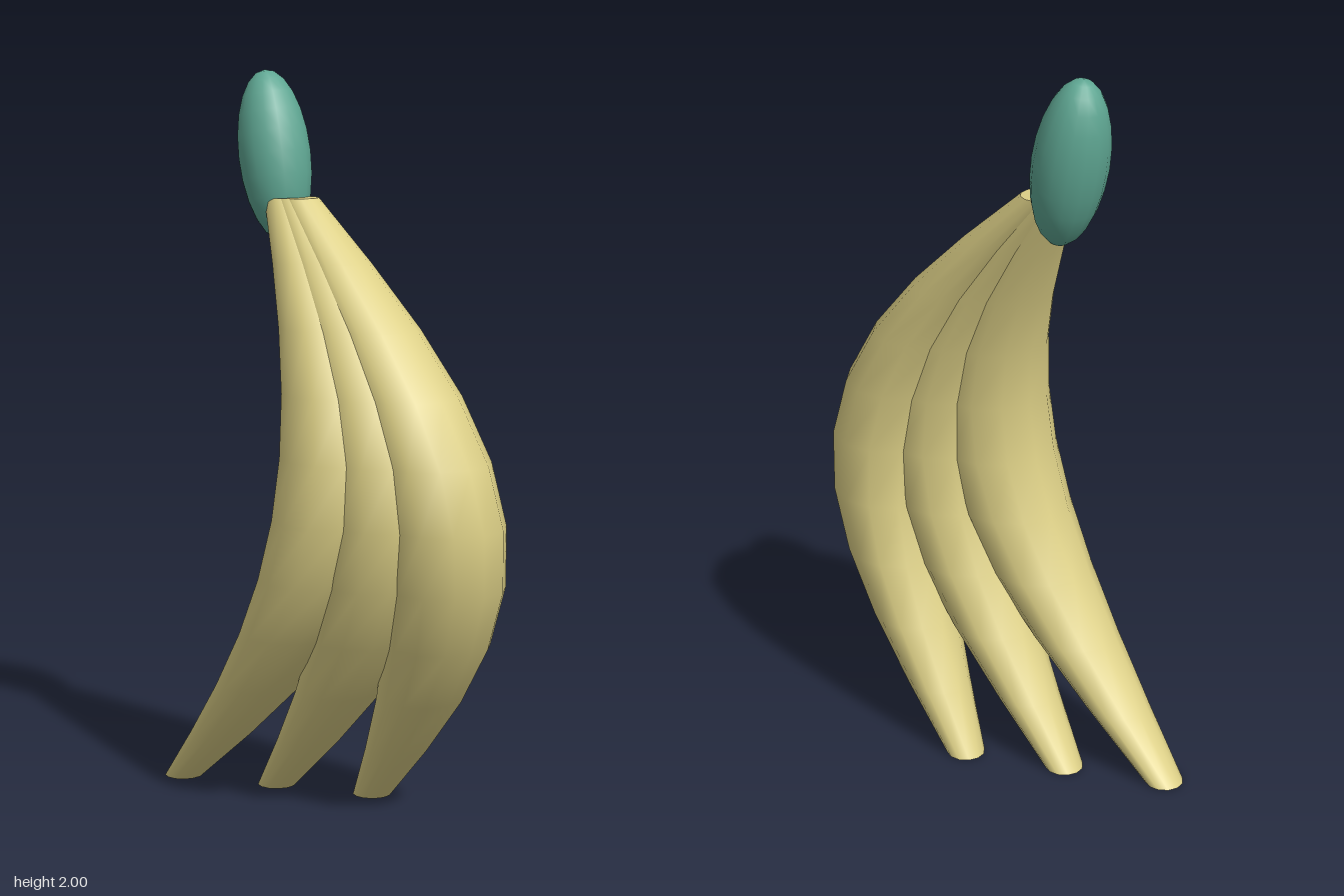
import * as THREE from 'three';

const HEIGHT = 1.66;

// One curved fruit: a cylinder whose level rings are swelled, bowed sideways and gathered at the top
function fruitGeometry(side) {
  const geo = new THREE.CylinderGeometry(1, 1, HEIGHT, 12, 10);
  const pos = geo.attributes.position;
  for (let i = 0; i < pos.count; i++) {
    const t = pos.getY(i) / HEIGHT + 0.5;
    const bulge = Math.sin(Math.PI * t);
    const radius = 0.053 + 0.112 * bulge;
    const spread = side * (1 - 0.92 * t);
    const cx = -0.265 + 0.08 * t + 0.478 * bulge - 0.235 * spread;
    pos.setXYZ(i, cx + radius * pos.getX(i), t * HEIGHT, 0.16 * spread + radius * pos.getZ(i));
  }
  // smooth sides, flat end caps; match normals across the seam
  geo.computeVertexNormals();
  const n = geo.attributes.normal;
  for (let row = 0; row <= 10; row++) {
    const a = row * 13, b = a + 12;
    const v = new THREE.Vector3().fromBufferAttribute(n, a)
      .add(new THREE.Vector3().fromBufferAttribute(n, b)).normalize();
    n.setXYZ(a, v.x, v.y, v.z);
    n.setXYZ(b, v.x, v.y, v.z);
  }
  return geo;
}

export function createModel() {
  const model = new THREE.Group();
  model.name = 'fruitBunch';
  const peel = new THREE.MeshStandardMaterial({ color: 0xdccf86 });
  peel.name = 'pale yellow peel';
  const green = new THREE.MeshStandardMaterial({ color: 0x5fa793 });
  green.name = 'green stem';

  // Three fruits fanned from back to front
  ['backFruit', 'middleFruit', 'frontFruit'].forEach((name, i) => {
    const fruit = new THREE.Mesh(fruitGeometry(i - 1), peel);
    fruit.name = name;
    model.add(fruit);
  });

  // Egg-shaped stem, leaning outward
  const stem = new THREE.Mesh(new THREE.SphereGeometry(1, 16, 12), green);
  stem.name = 'stem';
  stem.scale.set(0.1, 0.235, 0.1);
  stem.position.set(-0.265, 1.77, 0);
  stem.rotation.z = 0.2;
  model.add(stem);
  return model;
}
